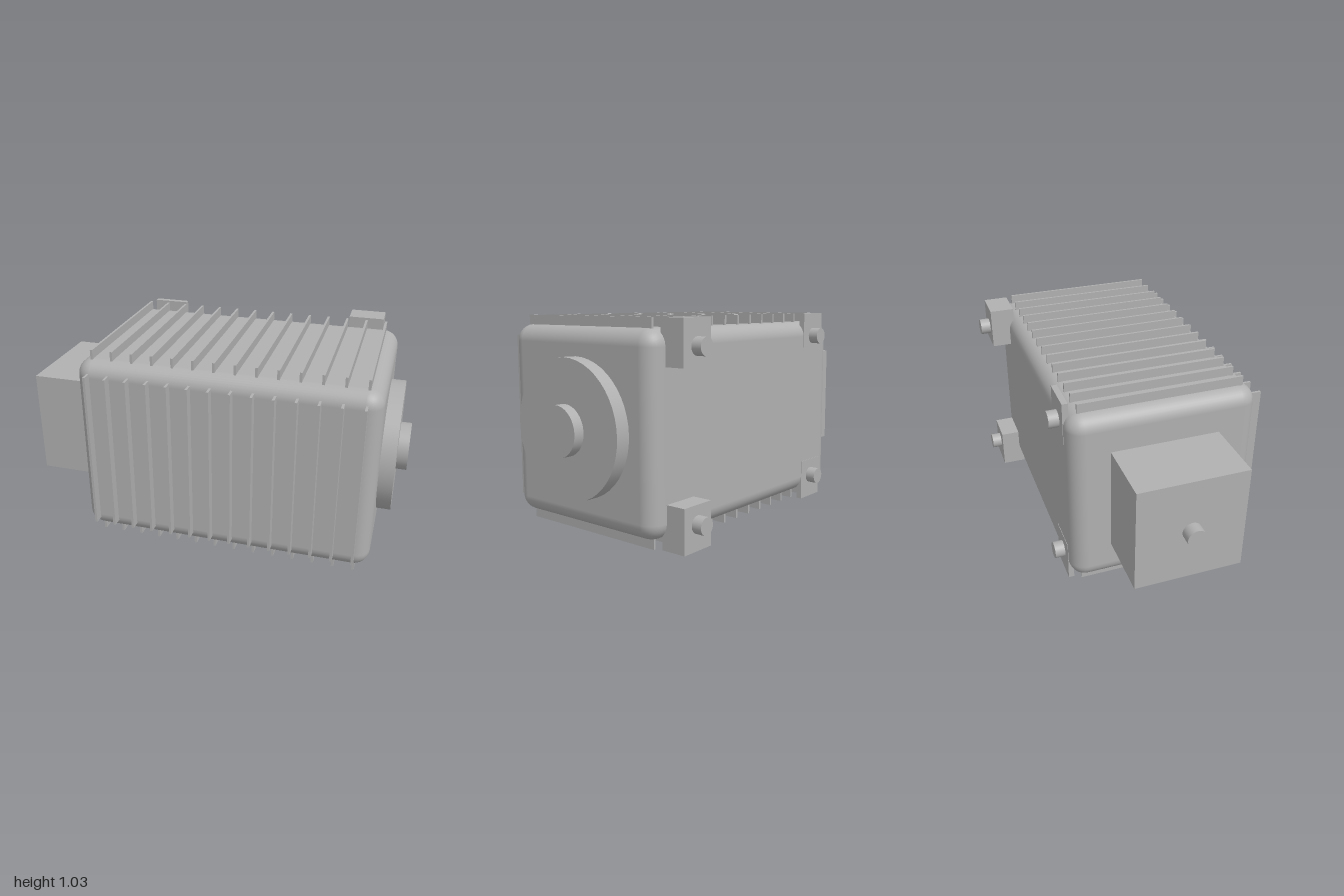
import * as THREE from 'three';
import { RoundedBoxGeometry } from 'three/addons/geometries/RoundedBoxGeometry.js';

export function createModel() {
  const model = new THREE.Group();
  model.name = 'finnedMotor';
  const metal = new THREE.MeshStandardMaterial({ color: 0xb0b0b0 });
  metal.name = 'grey metal';
  const CY = 0.515, CZ = 0.053; // main axis

  function add(name, geometry, x, y, z) {
    const mesh = new THREE.Mesh(geometry, metal);
    mesh.name = name;
    mesh.position.set(x, y, z);
    model.add(mesh);
    return mesh;
  }
  // box given by its extents on each axis
  function box(name, [x0, x1], [y0, y1], [z0, z1]) {
    return add(name, new THREE.BoxGeometry(x1 - x0, y1 - y0, z1 - z0),
      (x0 + x1) / 2, (y0 + y1) / 2, (z0 + z1) / 2);
  }
  // disc along the main axis
  function axialDisc(name, radius, x0, x1) {
    const geometry = new THREE.CylinderGeometry(radius, radius, x1 - x0, 48).rotateZ(Math.PI / 2);
    return add(name, geometry, (x0 + x1) / 2, CY, CZ);
  }

  // Main housing
  add('housing', new RoundedBoxGeometry(1.485, 0.94, 0.94, 4, 0.08), 0.1325, CY, CZ);

  // Cooling fins on top, bottom and front
  for (let i = 0; i < 14; i++) {
    const x = -0.535 + i * 0.1028;
    const span = [x - 0.006, x + 0.006];
    box('topFin', span, [0.95, 1.03], [-0.357, 0.465]);
    box('bottomFin', span, [0, 0.08], [-0.357, 0.465]);
    box('frontFin', span, [0.105, 0.927], [0.49, 0.57]);
  }

  // Output flange and hub
  axialDisc('flange', 0.333, 0.86, 0.947);
  axialDisc('hub', 0.121, 0.94, 1);

  // Rear gearbox with shaft and underside cover
  box('endBox', [-0.94, -0.6], [0.245, 0.79], [-0.22, 0.323]);
  box('underCover', [-0.905, -0.645], [0.236, 0.25], [CZ - 0.2, CZ + 0.2]);
  axialDisc('shaft', 0.047, -1, -0.93);

  // Mounting feet with studs: thick pair at +x, thin pair at -x
  for (const [x, back, studEnd] of [[0.694, -0.518, -0.57], [-0.427, -0.419, -0.47]]) {
    for (const side of [-1, 1]) {
      const inner = CY + side * 0.303, outer = CY + side * 0.515;
      box('foot', [x - 0.092, x + 0.092],
        [Math.min(inner, outer), Math.max(inner, outer)], [back, -0.39]);
      const length = back - studEnd + 0.01;
      const stud = new THREE.CylinderGeometry(0.042, 0.042, length, 32).rotateX(Math.PI / 2);
      add('footStud', stud, x, CY + side * 0.393, studEnd + length / 2);
    }
  }
  return model;
}
